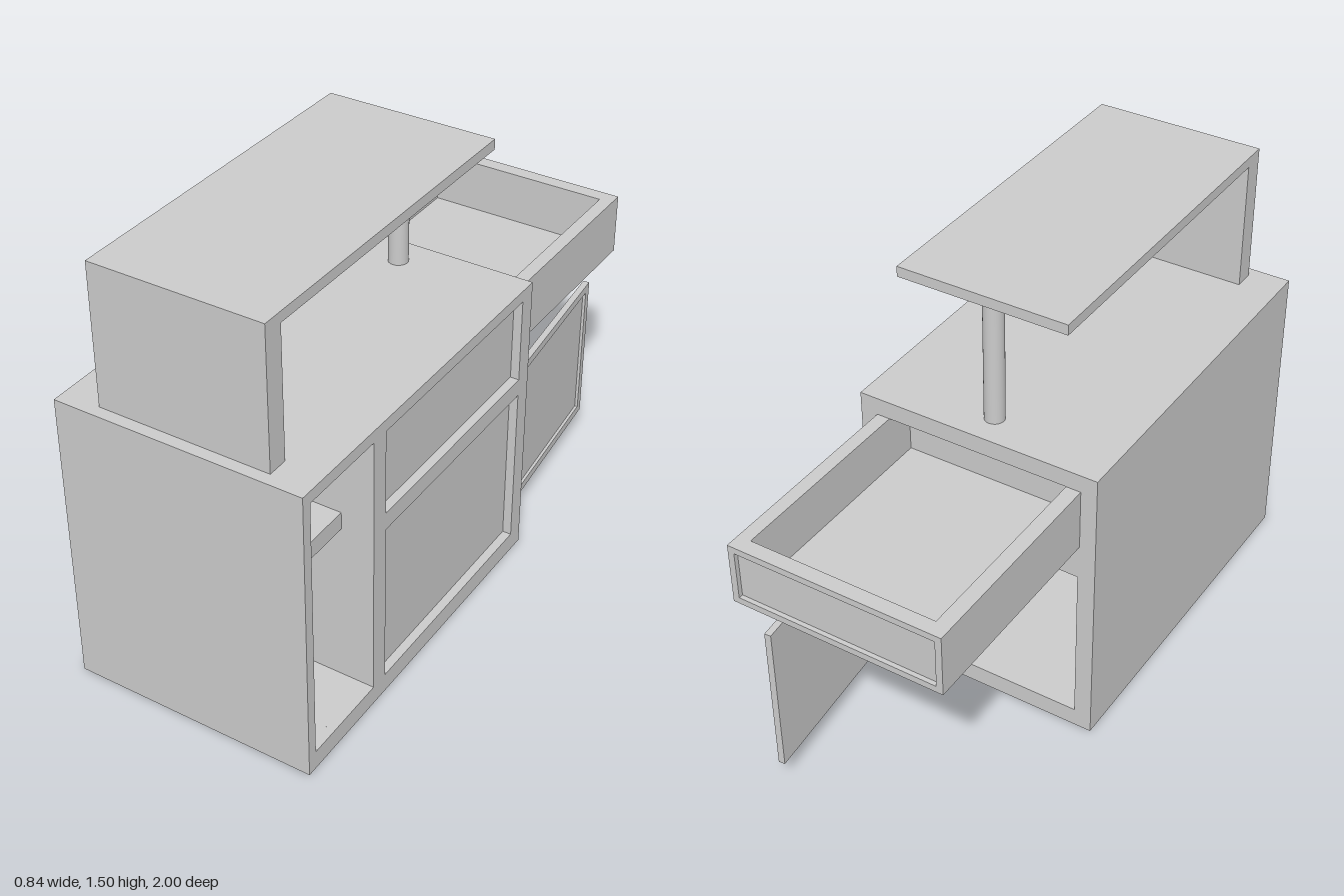
import * as THREE from 'three';

const material = new THREE.MeshStandardMaterial({ color: 0xcccccc });

function add(parent, name, geometry) {
  const mesh = new THREE.Mesh(geometry, material);
  mesh.name = name;
  parent.add(mesh);
  return mesh;
}

// Box given by its lower and upper limits on each axis
function box(parent, name, [x0, x1], [y0, y1], [z0, z1]) {
  const mesh = add(parent, name, new THREE.BoxGeometry(x1 - x0, y1 - y0, z1 - z0));
  mesh.position.set((x0 + x1) / 2, (y0 + y1) / 2, (z0 + z1) / 2);
  return mesh;
}

function rectangle(target, x0, x1, y0, y1) {
  target.moveTo(x0, y0);
  target.lineTo(x1, y0);
  target.lineTo(x1, y1);
  target.lineTo(x0, y1);
  target.closePath();
  return target;
}

// Board with rectangular holes; outer face at z = 0, thickness going to -z
function frame(parent, name, w, h, depth, holes) {
  const shape = rectangle(new THREE.Shape(), 0, w, 0, h);
  for (const hole of holes) shape.holes.push(rectangle(new THREE.Path(), ...hole));
  const geometry = new THREE.ExtrudeGeometry(shape, { depth, bevelEnabled: false });
  geometry.translate(0, 0, -depth);
  return add(parent, name, geometry);
}

// Frame with a sunken panel behind it
function recessedPanel(name, w, h, border, recess, thickness) {
  const group = new THREE.Group();
  group.name = name;
  frame(group, name + 'Frame', w, h, recess, [[border, w - border, border, h - border]]);
  box(group, name + 'Panel', [0, w], [0, h], [-thickness, -recess]);
  return group;
}

function createCabinet() {
  const g = new THREE.Group();
  g.name = 'cabinet';
  const inner = [-0.36, 0.39];

  // Shell boards
  box(g, 'frontWall', [-0.42, 0.39], [0, 1.02], [0.965, 1]);
  box(g, 'plainSideWall', [-0.42, -0.36], [0, 1.02], [-0.21, 0.965]);
  box(g, 'floor', inner, [0, 0.065], [-0.21, 0.965]);
  box(g, 'worktop', inner, [0.98, 1.02], [-0.21, 0.965]);

  // Inner divisions
  box(g, 'divider', inner, [0.065, 0.98], [0.61, 0.65]);
  box(g, 'middleBoard', [-0.36, 0.36], [0.63, 0.69], [-0.21, 0.61]);
  box(g, 'sidePanelBacking', [0.36, 0.39], [0.065, 0.98], [-0.21, 0.61]);
  box(g, 'openShelf', [-0.36, 0.31], [0.63, 0.69], [0.65, 0.965]);

  // Side frame: tall open niche and two sunken panels
  const side = frame(g, 'sideFrame', 1.27, 1.02, 0.03, [
    [0.035, 0.35, 0.065, 0.98],
    [0.415, 1.21, 0.065, 0.63],
    [0.415, 1.21, 0.69, 0.98],
  ]);
  side.position.set(0.42, 0, 1);
  side.rotation.y = Math.PI / 2;

  // Back frame: door opening below, drawer opening above
  const back = frame(g, 'backFrame', 0.81, 1.02, 0.06, [
    [0.03, 0.75, 0.065, 0.63],
    [0.03, 0.755, 0.75, 0.96],
  ]);
  back.position.set(0.39, 0, -0.27);
  back.rotation.y = Math.PI;
  return g;
}

function createDrawer() {
  const g = new THREE.Group();
  g.name = 'drawer';
  const x = [-0.365, 0.36];
  const y = [0.75, 0.96];
  box(g, 'drawerBottom', [-0.315, 0.315], [0.75, 0.78], [-0.95, -0.165]);
  box(g, 'drawerSideRight', [x[0], -0.315], y, [-0.95, -0.12]);
  box(g, 'drawerSideLeft', [0.315, x[1]], y, [-0.95, -0.12]);
  box(g, 'drawerInnerEnd', [-0.315, 0.315], y, [-0.165, -0.12]);

  const face = recessedPanel('drawerFace', 0.725, 0.21, 0.022, 0.015, 0.05);
  face.position.set(x[1], y[0], -1);
  face.rotation.y = Math.PI;
  g.add(face);
  return g;
}

function createRaisedShelf() {
  const g = new THREE.Group();
  g.name = 'raisedShelf';
  box(g, 'shelfTop', [-0.29, 0.29], [1.46, 1.495], [-0.23, 0.96]);
  box(g, 'shelfUpright', [-0.29, 0.29], [1.02, 1.46], [0.89, 0.96]);
  const post = add(g, 'shelfPost', new THREE.CylinderGeometry(0.033, 0.033, 0.44, 32));
  post.position.set(0, 1.24, -0.163);
  return g;
}

export function createModel() {
  const model = new THREE.Group();
  model.name = 'kitchenCounter';
  model.add(createCabinet(), createDrawer(), createRaisedShelf());

  // Door swung open a little past square
  const door = recessedPanel('door', 0.693, 0.54, 0.028, 0.01, 0.022);
  door.position.set(0.36, 0.08, -0.27);
  door.rotation.y = Math.PI / 2 + 0.094;
  model.add(door);
  return model;
}
